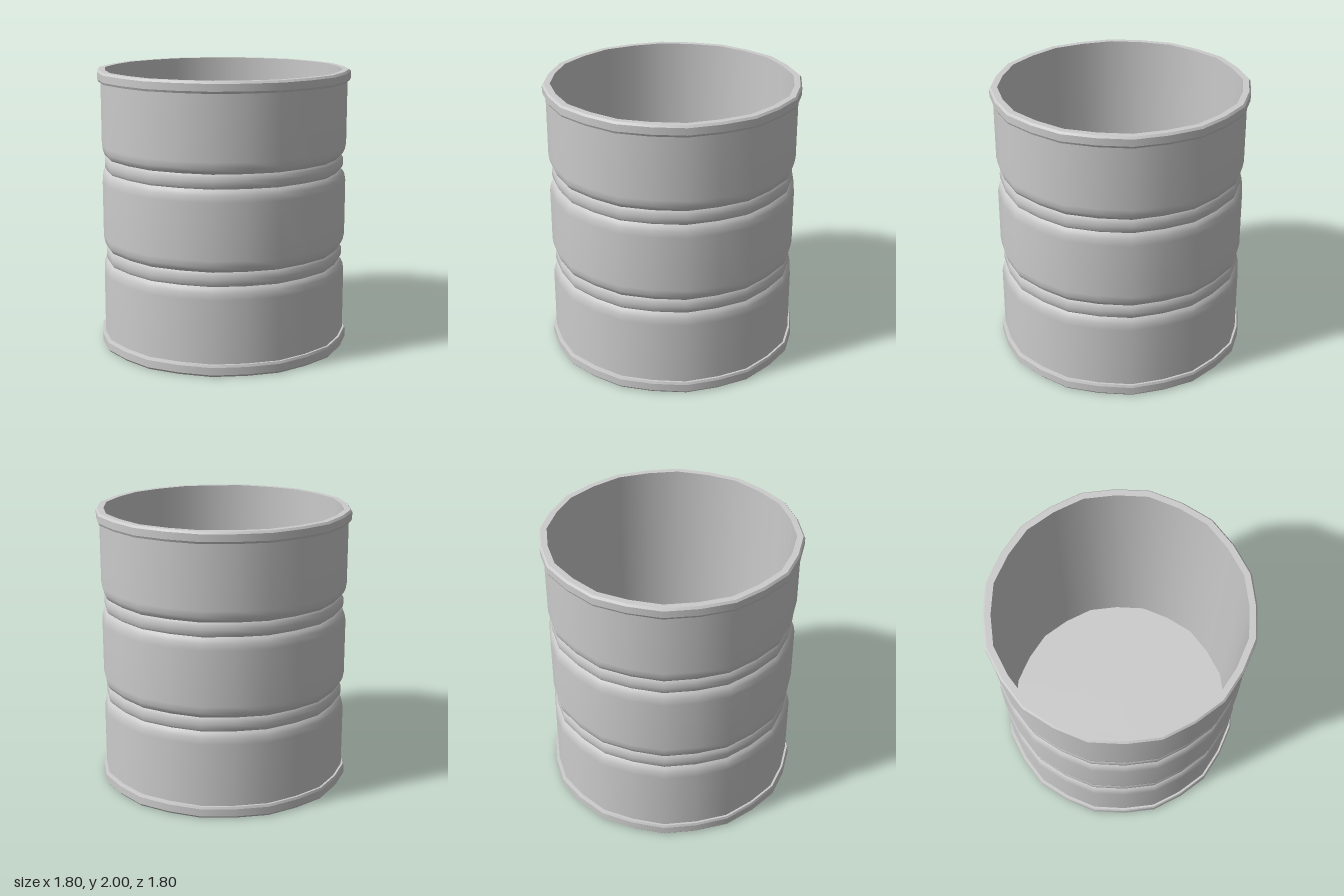
import * as THREE from 'three';

const SIDES = 24;
const material = new THREE.MeshStandardMaterial({ color: 0xcccccc });

// Smooth ring of revolution; every second side corner sits slightly further out
function ring(name, profile) {
  const points = profile.map(([r, y]) => new THREE.Vector2(r, y));
  const geometry = new THREE.LatheGeometry(points, SIDES);
  const pos = geometry.attributes.position;
  for (let i = 0; i < pos.count; i++) {
    const column = Math.floor(i / points.length);
    const k = column % 2 ? 1.012 : 1;
    pos.setXYZ(i, pos.getX(i) * k, pos.getY(i), pos.getZ(i) * k);
  }
  const mesh = new THREE.Mesh(geometry, material);
  mesh.name = name;
  return mesh;
}

// One ring per profile segment, so that the edges stay sharp
function creased(name, profile) {
  const group = new THREE.Group();
  group.name = name;
  for (let i = 1; i < profile.length; i++) {
    group.add(ring(name + 'Face' + i, [profile[i - 1], profile[i]]));
  }
  return group;
}

export function createModel() {
  const drum = new THREE.Group();
  drum.name = 'drum';
  const wall = 0.878, neck = 0.845, inner = 0.845;

  // Base and bottom rim
  drum.add(creased('bottomRim', [
    [0, 0], [0.887, 0], [0.9, 0.015], [0.9, 0.068], [0.893, 0.085], [wall, 0.085],
  ]));

  // Wall sections, curving inwards where they meet a bead
  const curveIn = (y, dir) => [
    [wall, y + dir * 0.085], [0.87, y + dir * 0.04], [0.859, y + dir * 0.015], [neck, y],
  ];
  const below = (y) => curveIn(y, -1);
  const above = (y) => curveIn(y, 1).reverse();
  drum.add(
    ring('lowerWall', [[wall, 0.085], ...below(0.62)]),
    ring('middleWall', [...above(0.72), ...below(1.285)]),
    ring('upperWall', [...above(1.385), [wall, 1.92]]),
  );

  // Rounded beads in the two grooves
  for (const [name, y] of [['lowerBead', 0.62], ['upperBead', 1.285]]) {
    drum.add(ring(name, [
      [neck, y], [0.857, y + 0.018], [0.86, y + 0.05], [0.857, y + 0.082], [neck, y + 0.1],
    ]));
  }

  // Top rim
  drum.add(creased('topRim', [
    [wall, 1.92], [0.893, 1.92], [0.9, 1.935], [0.9, 1.985], [0.888, 2], [inner, 2],
  ]));

  // Straight inside wall and floor
  drum.add(
    ring('insideWall', [[inner, 2], [inner, 0.05]]),
    ring('insideFloor', [[inner, 0.05], [0, 0.05]]),
  );
  return drum;
}
